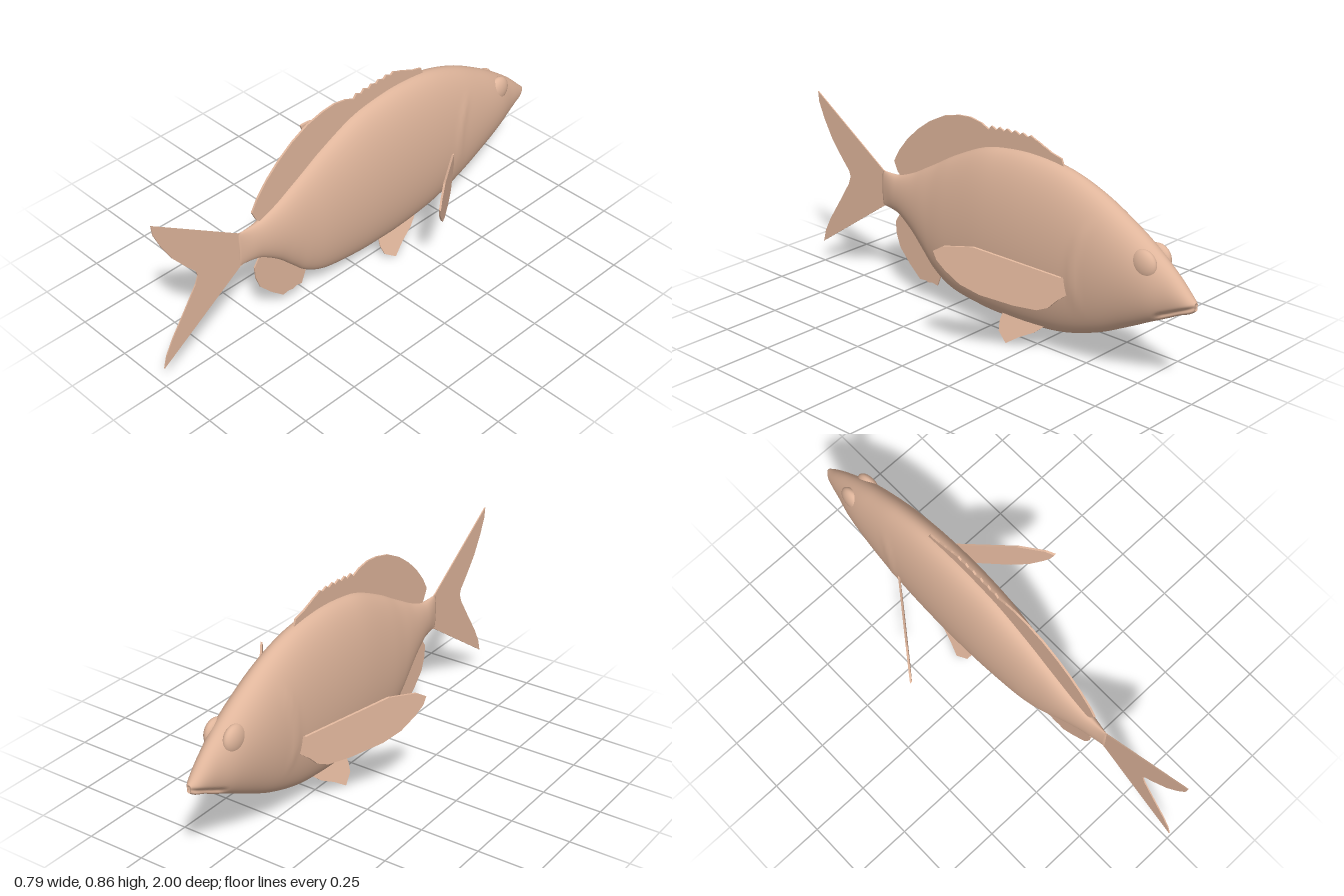
import * as THREE from 'three';

const skin = new THREE.MeshStandardMaterial({ color: 0xdfb59b });
skin.name = 'pale tan skin';

// Body stations from nose to tail: z, top y, bottom y, half width
const stations = [
  [-1, 0.405, 0.375, 0.012], [-0.975, 0.428, 0.357, 0.026], [-0.93, 0.472, 0.338, 0.04],
  [-0.88, 0.515, 0.312, 0.053], [-0.8, 0.574, 0.272, 0.075], [-0.7, 0.638, 0.22, 0.09],
  [-0.56, 0.713, 0.153, 0.102], [-0.4, 0.768, 0.102, 0.108], [-0.23, 0.787, 0.081, 0.11],
  [-0.08, 0.778, 0.078, 0.107], [0.04, 0.752, 0.083, 0.1], [0.19, 0.684, 0.105, 0.086],
  [0.285, 0.63, 0.152, 0.073], [0.35, 0.594, 0.215, 0.063], [0.42, 0.556, 0.285, 0.05],
  [0.5, 0.525, 0.342, 0.034], [0.55, 0.517, 0.358, 0.024], [0.61, 0.518, 0.364, 0.008],
];

function createBody() {
  const tops = new THREE.CatmullRomCurve3(
    stations.map(([z, t, b]) => new THREE.Vector3(z, t, b)), false, 'catmullrom');
  const widths = new THREE.CatmullRomCurve3(
    stations.map(([z, , , w]) => new THREE.Vector3(z, w, 0)), false, 'catmullrom');
  const rings = 136, sides = 72;
  const pos = [], index = [];

  for (let i = 0; i <= rings; i++) {
    const { x: z, y: top, z: bottom } = tops.getPoint(i / rings);
    const w = widths.getPoint(i / rings).y;
    for (let j = 0; j < sides; j++) {
      const a = (j / sides) * Math.PI * 2;
      const y = (top + bottom) / 2 + (top - bottom) / 2 * Math.sin(a);
      let x = w * Math.cos(a);
      // Mouth slit, running back and down from the nose
      const slit = Math.exp(-(((y - 0.39 + (z + 1) * 0.47) / 0.01) ** 2))
        * (1 - THREE.MathUtils.smoothstep(z, -0.87, -0.83));
      x *= 1 - 0.45 * slit;
      // Raised rim of the gill cover
      const rim = Math.exp(-(((z + 0.5 + 1.2 * (y - 0.4) ** 2) / 0.018) ** 2))
        * THREE.MathUtils.smoothstep(y, 0.22, 0.36) * (1 - THREE.MathUtils.smoothstep(y, 0.54, 0.64));
      x += Math.sign(x) * 0.004 * rim;
      pos.push(x, y, z);
    }
  }
  for (let i = 0; i < rings; i++) {
    for (let j = 0; j < sides; j++) {
      const k = (j + 1) % sides;
      const a = i * sides + j, b = i * sides + k;
      index.push(a, b, a + sides, b, b + sides, a + sides);
    }
  }
  // Nose and tail caps; the nose centre is set back to part the lips
  const nose = pos.length / 3, tail = nose + 1, last = rings * sides;
  pos.push(0, 0.39, -0.985, 0, 0.441, 0.612);
  for (let j = 0; j < sides; j++) {
    const k = (j + 1) % sides;
    index.push(nose, k, j, tail, last + j, last + k);
  }
  const geo = new THREE.BufferGeometry();
  geo.setAttribute('position', new THREE.Float32BufferAttribute(pos, 3));
  geo.setIndex(index);
  geo.computeVertexNormals();
  return geo;
}

// Thin fin from a side outline of [z, y] points; lean(z, y) gives its sideways offset
function createFin(name, outline, thickness, lean = () => 0) {
  const shape = new THREE.Shape(outline.map(([z, y]) => new THREE.Vector2(-z, y)));
  const geo = new THREE.ExtrudeGeometry(shape, { depth: thickness, bevelEnabled: false });
  geo.translate(0, 0, -thickness / 2);
  geo.rotateY(Math.PI / 2);
  const p = geo.attributes.position;
  for (let i = 0; i < p.count; i++) p.setX(i, p.getX(i) + lean(p.getZ(i), p.getY(i)));
  geo.computeVertexNormals();
  const mesh = new THREE.Mesh(geo, skin);
  mesh.name = name;
  return mesh;
}

export function createModel() {
  const fish = new THREE.Group();
  fish.name = 'fish';

  const body = new THREE.Mesh(createBody(), skin);
  body.name = 'body';
  fish.add(body);

  // Forked tail
  fish.add(createFin('tailFin', [
    [0.58, 0.51], [0.61, 0.52], [1, 0.78], [0.995, 0.735], [0.965, 0.665], [0.92, 0.585], [0.86, 0.51],
    [0.82, 0.465], [0.812, 0.44], [0.825, 0.405], [0.88, 0.32], [0.95, 0.215], [0.985, 0.15], [1, 0.095],
    [0.61, 0.36], [0.58, 0.37],
  ], 0.005));

  // Back fin: soft rear lobe, then a row of spines
  const dorsal = [
    [0.48, 0.5], [0.52, 0.535], [0.54, 0.578], [0.51, 0.63], [0.46, 0.69], [0.4, 0.745], [0.33, 0.795],
    [0.25, 0.835], [0.17, 0.855], [0.11, 0.86], [0.05, 0.85], [0.01, 0.832],
  ];
  for (let i = 0; i < 8; i++) {
    const z = -0.005 - i * 0.04, y = 0.85 + 0.008 * Math.sin(i / 7 * Math.PI) - (i > 5 ? (i - 5) * 0.013 : 0);
    dorsal.push([z, y], [z - 0.026, y - 0.012]);
  }
  dorsal.push([-0.36, 0.8], [-0.375, 0.765], [-0.3, 0.74], [0, 0.7], [0.25, 0.58]);
  fish.add(createFin('dorsalFin', dorsal, 0.008));

  fish.add(createFin('analFin', [
    [0.48, 0.4], [0.54, 0.31], [0.535, 0.255], [0.515, 0.2], [0.46, 0.14], [0.42, 0.105], [0.4, 0.088],
    [0.37, 0.092], [0.35, 0.087], [0.33, 0.093], [0.3, 0.088], [0.275, 0.15], [0.28, 0.25], [0.4, 0.36],
  ], 0.006));

  // Paired fins and eyes
  for (const [side, s] of [['left', 1], ['right', -1]]) {
    fish.add(createFin(`${side}PectoralFin`, [
      [-0.475, 0.385], [-0.455, 0.38], [-0.19, 0.488], [-0.1, 0.487], [-0.07, 0.467], [-0.08, 0.43],
      [-0.105, 0.39], [-0.15, 0.335], [-0.21, 0.295], [-0.315, 0.257], [-0.385, 0.243], [-0.42, 0.255],
      [-0.445, 0.285], [-0.475, 0.31],
    ], 0.01, (z) => s * (0.107 + (z + 0.455) * 0.735)));

    fish.add(createFin(`${side}PelvicFin`, [
      [-0.1, 0.12], [-0.095, 0.07], [-0.105, 0.035], [-0.155, 0.002], [-0.21, 0.04], [-0.275, 0.075],
      [-0.31, 0.105], [-0.29, 0.12],
    ], 0.005, (z, y) => s * (0.035 + (0.105 - y) * 0.44)));

    const eye = new THREE.Mesh(new THREE.SphereGeometry(1, 32, 20), skin);
    eye.name = `${side}Eye`;
    eye.scale.set(0.03, 0.058, 0.058);
    eye.position.set(s * 0.043, 0.51, -0.79);
    fish.add(eye);
  }
  return fish;
}
